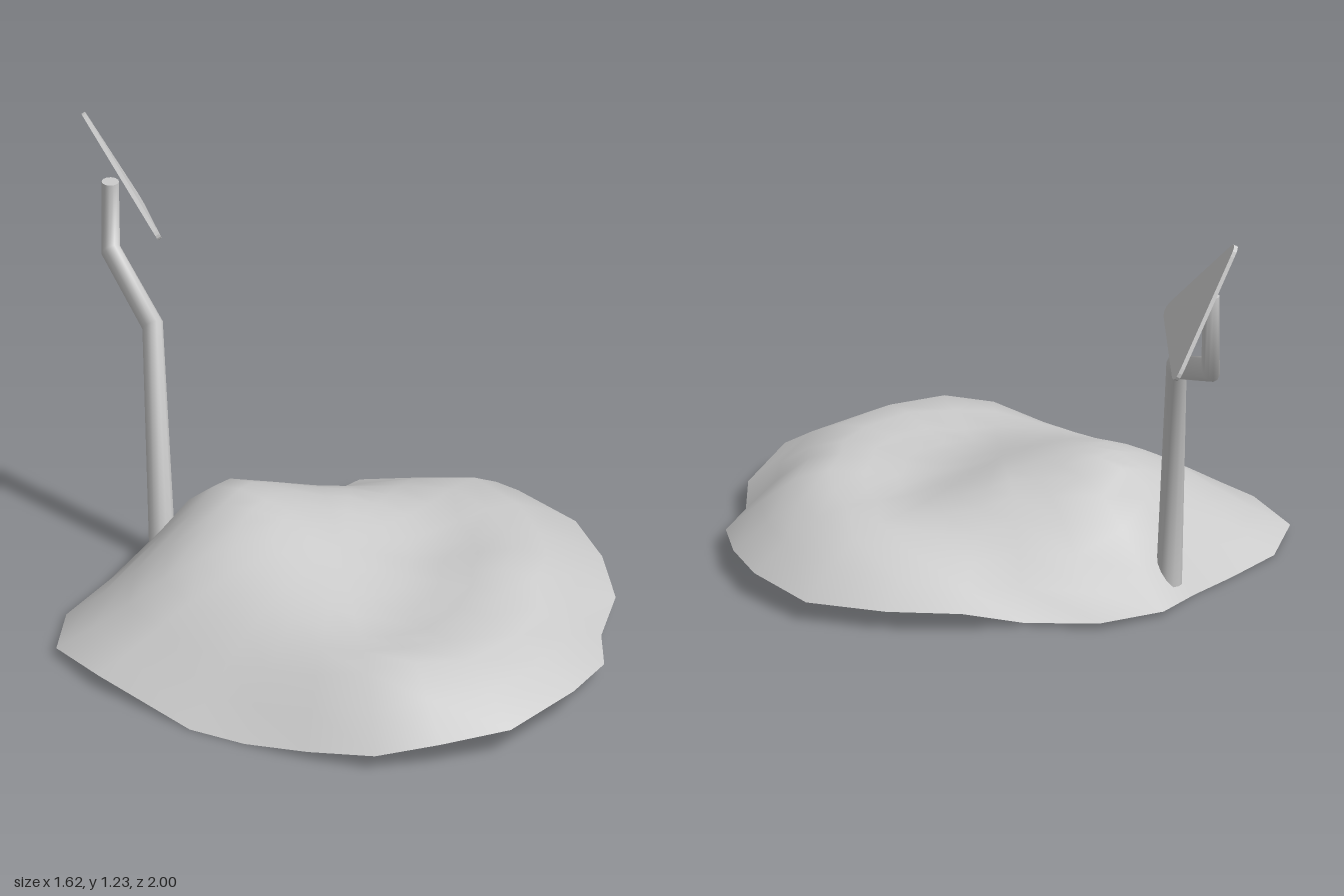
import * as THREE from 'three';

const grey = new THREE.MeshStandardMaterial({ color: 0xcccccc });
const greyThin = new THREE.MeshStandardMaterial({ color: 0xcccccc, side: THREE.DoubleSide });

// Mound edge, clockwise seen from above: x, y, z
const rim = [
  [-0.03, 0.02, -0.66], [0.16, 0.006, -0.55], [0.35, 0.056, -0.55], [0.55, 0.056, -0.46],
  [0.74, 0.056, -0.31], [0.81, 0.068, -0.06], [0.8, 0.064, 0.15], [0.75, 0.05, 0.36],
  [0.63, 0.04, 0.53], [0.56, 0.055, 0.71], [0.39, 0.093, 0.88], [0.14, 0.085, 1],
  [-0.07, 0.071, 0.975], [-0.25, 0.046, 0.92], [-0.4, 0.022, 0.78], [-0.53, 0, 0.63],
  [-0.64, 0, 0.49], [-0.78, 0.038, 0.16], [-0.815, 0.022, -0.06], [-0.7, 0.008, -0.25],
  [-0.53, 0.002, -0.37], [-0.38, 0, -0.47], [-0.24, 0.014, -0.61],
];

// Heights of the peak, its long front slope and the curved front ridge
const relief = [
  [-0.24, 0.34, -0.21], [-0.1, 0.315, -0.19], [0.1, 0.275, -0.15], [0.28, 0.222, -0.15],
  [0.42, 0.207, -0.1], [0.57, 0.207, -0.16], [0.6, 0.195, 0.1], [0.53, 0.207, 0.38],
  [0.4, 0.195, 0.6], [0.2, 0.205, 0.75], [-0.04, 0.225, 0.77], [-0.2, 0.205, 0.7],
  [-0.38, 0.155, 0.5], [0.1, 0.2, 0.38], [-0.18, 0.232, 0.36], [0.3, 0.2, 0.12],
  [-0.25, 0.312, 0.05], [-0.2, 0.262, 0.23], [-0.5, 0.215, -0.05], [-0.45, 0.2, 0.22],
  [0, 0.17, -0.44], [-0.24, 0.245, -0.37], [0.3, 0.145, -0.38], [-0.05, 0.198, 0.58],
  [0.02, 0.265, 0.1], [-0.62, 0.12, -0.08], [-0.38, 0.265, -0.15],
];

// Smooth height field through the given points (thin-plate spline)
function heightField(points) {
  const n = points.length;
  const kernel = (dx, dz) => {
    const d = dx * dx + dz * dz;
    return d < 1e-12 ? 0 : d * Math.log(d);
  };
  const basis = (x, z) => [...points.map((p) => kernel(x - p[0], z - p[2])), 1, x, z];
  const m = points.map((p) => [...basis(p[0], p[2]), p[1]]);
  for (const f of [() => 1, (p) => p[0], (p) => p[2]]) m.push([...points.map(f), 0, 0, 0, 0]);
  const size = n + 3;
  for (let c = 0; c < size; c++) {
    let best = c;
    for (let r = c + 1; r < size; r++) if (Math.abs(m[r][c]) > Math.abs(m[best][c])) best = r;
    [m[c], m[best]] = [m[best], m[c]];
    for (let r = 0; r < size; r++) {
      if (r === c) continue;
      const f = m[r][c] / m[c][c];
      for (let k = c; k <= size; k++) m[r][k] -= f * m[c][k];
    }
  }
  const weights = m.map((row, i) => row[size] / row[i]);
  return (x, z) => basis(x, z).reduce((sum, b, i) => sum + b * weights[i], 0);
}

function indexedGeometry(positions, index) {
  const g = new THREE.BufferGeometry();
  g.setAttribute('position', new THREE.Float32BufferAttribute(positions, 3));
  g.setIndex(index);
  g.computeVertexNormals();
  return g;
}

// Open sheet of ground: rings shrinking from the rim to a centre point
function moundGeometry() {
  const height = heightField([...rim, ...relief]);
  const n = rim.length, rings = 8, cz = 0.12;
  const positions = [0, height(0, cz), cz], index = [];
  for (let r = 1; r <= rings; r++) {
    const t = r / rings;
    for (const p of rim) {
      const x = p[0] * t, z = cz + (p[2] - cz) * t;
      positions.push(x, height(x, z), z);
    }
  }
  for (let i = 0; i < n; i++) {
    const j = (i + 1) % n;
    index.push(0, 1 + j, 1 + i);
    for (let r = 0; r < rings - 1; r++) {
      const a = 1 + r * n, b = a + n;
      index.push(a + i, a + j, b + i, a + j, b + j, b + i);
    }
  }
  return indexedGeometry(positions, index);
}

// Bent pole: one smooth tube through mitred rings, capped at both ends
function poleGroup() {
  const group = new THREE.Group();
  const sides = 12;
  // centre, half width in x, mitre direction in y and z
  const rings = [
    { c: [-0.309, 0.04, -0.457], w: 0.038, m: [0, 0.038] },
    { c: [-0.306, 0.724, -0.532], w: 0.03, m: [0.028, 0.027] },
    { c: [-0.307, 0.818, -0.826], w: 0.027, m: [0.03, 0.025] },
    { c: [-0.307, 1.042, -0.83], w: 0.025, m: [0, 0.024] },
  ];
  const positions = [], index = [];
  rings.forEach(({ c, w, m }, k) => {
    for (let i = 0; i < sides; i++) {
      const a = (i / sides) * Math.PI * 2, s = Math.sin(a);
      positions.push(c[0] + w * Math.cos(a), c[1] + m[0] * s, c[2] + m[1] * s);
      if (k === rings.length - 1) continue;
      const p = k * sides + i, q = k * sides + (i + 1) % sides;
      index.push(p, p + sides, q, q, p + sides, q + sides);
    }
  });
  const tube = new THREE.Mesh(indexedGeometry(positions, index), greyThin);
  tube.name = 'poleTube';
  group.add(tube);
  for (const [name, ring, flip] of [['poleFoot', rings[0], 1], ['poleTop', rings[3], -1]]) {
    const cap = new THREE.Mesh(new THREE.CircleGeometry(ring.w, sides), grey);
    cap.position.set(...ring.c);
    cap.rotation.x = flip * Math.PI / 2;
    cap.name = name;
    group.add(cap);
  }
  return group;
}

// Thin triangular plate with rounded corners, spanned by three points in space
function signMesh() {
  const corners = [[-0.24, 0.942, -0.638], [-0.145, 0.863, -0.995], [-0.347, 1.224, -0.932]]
    .map((p) => new THREE.Vector3(...p));
  const centre = new THREE.Vector3();
  corners.forEach((p) => centre.addScaledVector(p, 1 / 3));
  const u = corners[1].clone().sub(corners[0]).normalize();
  const normal = u.clone().cross(corners[2].clone().sub(corners[0])).normalize();
  const v = normal.clone().cross(u);
  const flat = corners.map((p) => {
    const d = p.clone().sub(centre).multiplyScalar(1.1);
    return new THREE.Vector2(d.dot(u), d.dot(v));
  });
  const shape = new THREE.Shape();
  flat.forEach((p, i) => {
    const start = p.clone().lerp(flat[(i + 2) % 3], 0.12);
    const end = p.clone().lerp(flat[(i + 1) % 3], 0.12);
    if (i === 0) shape.moveTo(start.x, start.y);
    else shape.lineTo(start.x, start.y);
    shape.quadraticCurveTo(p.x, p.y, end.x, end.y);
  });
  shape.closePath();
  const depth = 0.012;
  const geometry = new THREE.ExtrudeGeometry(shape, { depth, bevelEnabled: false, curveSegments: 6 });
  geometry.translate(0, 0, -depth / 2);
  geometry.applyMatrix4(new THREE.Matrix4().makeBasis(u, v, normal).setPosition(centre));
  return new THREE.Mesh(geometry, grey);
}

export function createModel() {
  const model = new THREE.Group();
  const mound = new THREE.Mesh(moundGeometry(), greyThin);
  mound.name = 'mound';
  const pole = poleGroup();
  pole.name = 'bentPole';
  const sign = signMesh();
  sign.name = 'triangularSign';
  model.add(mound, pole, sign);
  return model;
}
